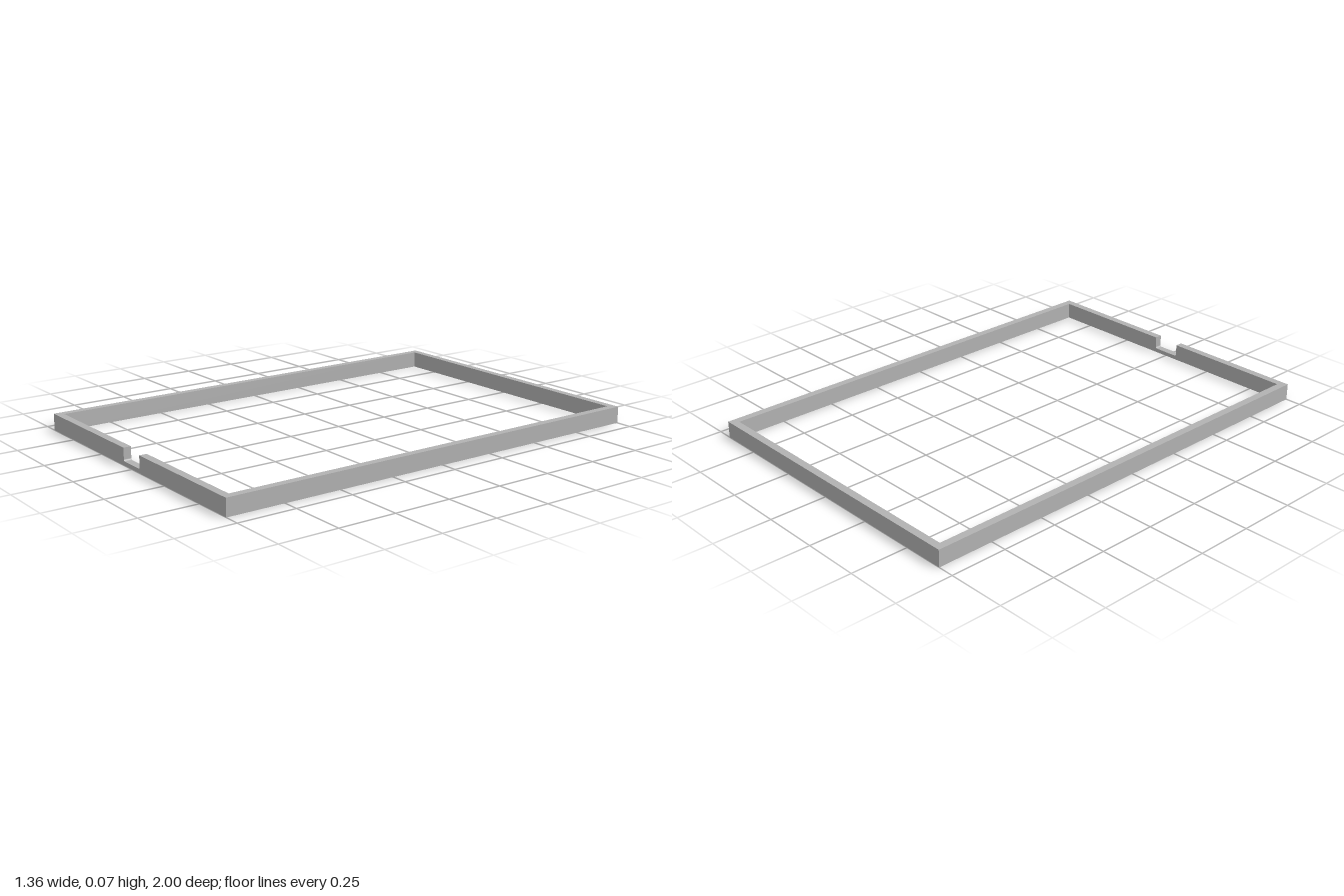
import * as THREE from 'three';

const W = 0.68;      // half width
const L = 1;         // half length
const H = 0.073;     // height
const T = 0.033;     // wall thickness
const NOTCH = 0.063; // half width of the notch
const FLOOR = 0.018; // height of the notch floor
const R = 0.008;     // notch corner radius

export function createModel() {
  const group = new THREE.Group();
  group.name = 'trayFrame';
  const grey = new THREE.MeshStandardMaterial({ color: 0xb2b2b2 });
  grey.name = 'grey';

  const add = (name, geometry) => {
    const mesh = new THREE.Mesh(geometry, grey);
    mesh.name = name;
    group.add(mesh);
    return mesh;
  };

  // Side rails run the full length
  for (const side of [1, -1]) {
    const rail = add(side > 0 ? 'leftRail' : 'rightRail', new THREE.BoxGeometry(T, H, 2 * L));
    rail.position.set(side * (W - T / 2), H / 2, 0);
  }

  // Back rail fits between the side rails
  const inner = W - T;
  add('backRail', new THREE.BoxGeometry(2 * inner, H, T)).position.set(0, H / 2, -L + T / 2);

  // Front rail with a round-cornered notch in its top edge
  const profile = new THREE.Shape();
  profile.moveTo(-inner, 0);
  profile.lineTo(inner, 0);
  profile.lineTo(inner, H);
  profile.lineTo(NOTCH, H);
  profile.lineTo(NOTCH, FLOOR + R);
  profile.absarc(NOTCH - R, FLOOR + R, R, 0, -Math.PI / 2, true);
  profile.lineTo(-NOTCH + R, FLOOR);
  profile.absarc(-NOTCH + R, FLOOR + R, R, -Math.PI / 2, -Math.PI, true);
  profile.lineTo(-NOTCH, H);
  profile.lineTo(-inner, H);
  profile.closePath();
  const front = new THREE.ExtrudeGeometry(profile, { depth: T, bevelEnabled: false, curveSegments: 6 });
  add('frontRail', front).position.z = L - T;

  return group;
}
